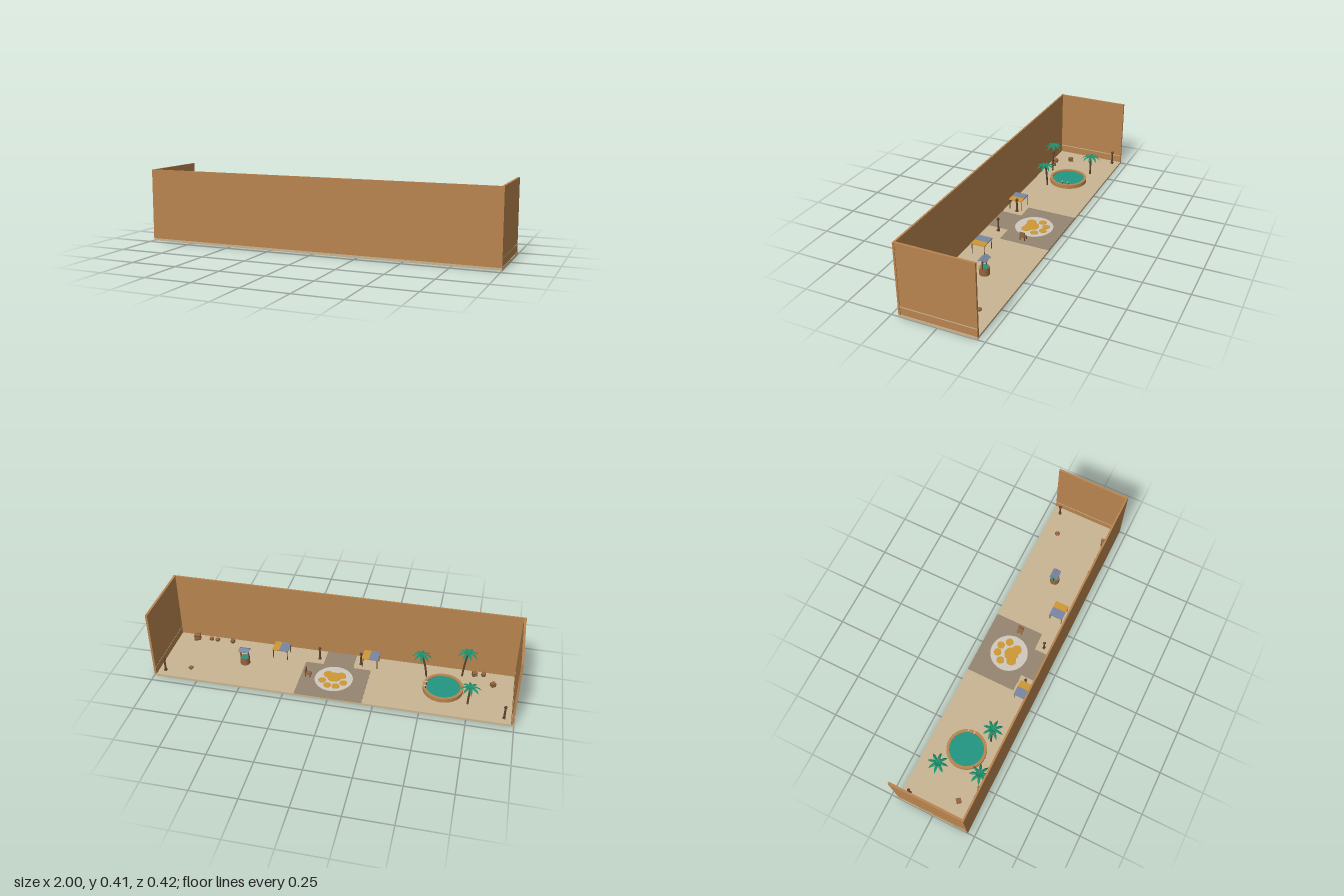
import * as THREE from 'three';

const mat = (name, color) => {
  const m = new THREE.MeshStandardMaterial({ color, flatShading: true, side: THREE.DoubleSide });
  m.name = name;
  return m;
};

export function createModel() {
  const M = {
    wall: mat('wallWood', 0xb8844e), sand: mat('sand', 0xc8b592), paving: mat('paving', 0x968572),
    stone: mat('paleStone', 0xcfc8bd), gold: mat('gold', 0xcf9835), blue: mat('slateBlue', 0x7a86a2),
    dark: mat('darkWood', 0x5f452f), water: mat('water', 0x229681), leaf: mat('palmGreen', 0x1f8f6c),
    brown: mat('barrelWood', 0x95653e),
  };
  const root = new THREE.Group();
  root.name = 'courtyard';
  const G = 0.013; // ground level

  const add = (parent, name, geo, m, x, y, z) => {
    const mesh = new THREE.Mesh(geo, m);
    mesh.name = name;
    mesh.position.set(x, y, z);
    parent.add(mesh);
    return mesh;
  };
  const box = (p, name, m, w, h, d, x, y, z) => add(p, name, new THREE.BoxGeometry(w, h, d), m, x, y, z);
  const cyl = (p, name, m, r1, r2, h, x, y, z, n = 10) =>
    add(p, name, new THREE.CylinderGeometry(r1, r2, h, n), m, x, y, z);
  const group = (name, x, z, ry = 0) => {
    const g = new THREE.Group();
    g.name = name;
    g.position.set(x, G, z);
    g.rotation.y = ry;
    root.add(g);
    return g;
  };

  // Ground slab and walls; the rear stays open
  box(root, 'ground', M.sand, 2, G, 0.42, 0, G / 2, 0);
  box(root, 'frontWall', M.wall, 2, 0.397, 0.01, 0, G + 0.1985, 0.205);
  for (const s of [-1, 1]) {
    box(root, 'sideWall', M.wall, 0.012, 0.397, 0.41, s * 0.991, G + 0.1985, -0.005);
    box(root, 'sideWallTrim', M.sand, 0.014, 0.005, 0.41, s * 0.991, 0.0575, -0.005);
  }

  // Paved plaza, path and medallion
  box(root, 'plaza', M.paving, 0.376, 0.002, 0.288, 0, G + 0.001, -0.066);
  box(root, 'path', M.paving, 0.172, 0.002, 0.122, 0, G + 0.001, 0.139);
  cyl(root, 'medallion', M.stone, 0.107, 0.107, 0.002, 0, G + 0.003, -0.042, 40);
  const paw = group('pawInlay', 0, -0.04);
  for (const [x, z, r] of [[-0.06, -0.028, 0.022], [-0.023, -0.064, 0.022], [0.023, -0.064, 0.022],
    [0.06, -0.028, 0.022], [0, 0.012, 0.04], [-0.036, 0.03, 0.028], [0.036, 0.03, 0.028]])
    cyl(paw, 'pawPad', M.gold, r, r, 0.002, x, 0.005, z, 18);

  // Round pool with a raised rim and ladder posts
  const pool = group('pool', -0.605, 0);
  const rim = [[0.095, 0], [0.095, 0.024], [0.111, 0.024], [0.111, 0]].map(p => new THREE.Vector2(...p));
  add(pool, 'poolRim', new THREE.LatheGeometry(rim, 36), M.wall, 0, 0, 0);
  cyl(pool, 'poolWater', M.water, 0.096, 0.096, 0.018, 0, 0.009, 0, 36);
  for (const z of [-0.035, 0]) {
    cyl(pool, 'ladderPost', M.dark, 0.003, 0.003, 0.04, 0.092, 0.02, z, 6);
    box(pool, 'ladderHandle', M.stone, 0.016, 0.004, 0.006, 0.096, 0.04, z);
  }

  // Palms: bent trunk and drooping pointed fronds
  const frond = () => {
    const pos = [], idx = [];
    [[0, 0, 0.003], [0.02, 0.009, 0.008], [0.04, 0.004, 0.007], [0.058, -0.014, 0.0005]].forEach(([x, y, w], i) => {
      pos.push(x, y - w * 0.5, -w, x, y, 0, x, y - w * 0.5, w);
      if (i) for (const k of [0, 1]) {
        const a = i * 3 - 3 + k;
        idx.push(a, a + 1, a + 3, a + 1, a + 4, a + 3);
      }
    });
    const g = new THREE.BufferGeometry();
    g.setAttribute('position', new THREE.Float32BufferAttribute(pos, 3));
    g.setIndex(idx);
    g.computeVertexNormals();
    return g;
  };
  for (const [x, z, h, lean] of [[-0.754, -0.09, 0.112, 0.006], [-0.47, 0.096, 0.142, -0.032], [-0.717, 0.144, 0.162, 0.02]]) {
    const palm = group('palm', x, z);
    const curve = new THREE.QuadraticBezierCurve3(new THREE.Vector3(lean, 0, 0),
      new THREE.Vector3(lean * 0.7, h * 0.6, 0), new THREE.Vector3(0, h, 0));
    add(palm, 'palmTrunk', new THREE.TubeGeometry(curve, 8, 0.0055, 7), M.dark, 0, 0, 0);
    for (let i = 0; i < 8; i++)
      add(palm, 'palmFrond', frond(), M.leaf, 0, h, 0).rotation.y = i * Math.PI / 4 + x * 5;
  }

  // Market stalls with two-colour canopies
  for (const [x, z] of [[-0.178, 0.138], [0.34, 0.11]]) {
    const stall = group('stall', x, z);
    for (const sx of [-1, 1]) for (const sz of [-1, 1])
      cyl(stall, 'stallLeg', M.dark, 0.0025, 0.0025, 0.06, sx * 0.041, 0.03, sz * 0.036, 6);
    box(stall, 'canopyBlue', M.blue, 0.052, 0.006, 0.08, -0.02, 0.062, 0);
    box(stall, 'canopyGold', M.gold, 0.04, 0.006, 0.08, 0.026, 0.062, 0);
  }

  // Posts with round caps
  for (const [x, z] of [[-0.947, -0.166], [0.947, -0.166], [-0.123, 0.123], [0.118, 0.123]]) {
    const post = group('post', x, z);
    box(post, 'postBase', M.dark, 0.015, 0.008, 0.015, 0, 0.004, 0);
    cyl(post, 'postShaft', M.dark, 0.005, 0.006, 0.07, 0, 0.035, 0, 8);
    add(post, 'postCap', new THREE.SphereGeometry(0.009, 8, 6), M.dark, 0, 0.075, 0);
  }

  // Chair on the plaza
  const chair = group('chair', 0.146, -0.042);
  box(chair, 'chairSeat', M.brown, 0.03, 0.005, 0.032, 0, 0.02, 0);
  box(chair, 'chairBack', M.brown, 0.005, 0.033, 0.032, 0.014, 0.037, 0);
  for (const sx of [-1, 1]) for (const sz of [-1, 1])
    box(chair, 'chairLeg', M.dark, 0.004, 0.018, 0.004, sx * 0.012, 0.009, sz * 0.013);

  // Well with a gabled roof and bucket
  const well = group('well', 0.527, -0.003);
  cyl(well, 'wellWall', M.brown, 0.027, 0.028, 0.042, 0, 0.021, 0, 12);
  cyl(well, 'wellWater', M.water, 0.021, 0.021, 0.002, 0, 0.043, 0, 12);
  for (const s of [-1, 1]) {
    cyl(well, 'wellPost', M.dark, 0.003, 0.003, 0.06, s * 0.023, 0.064, 0, 6);
    box(well, 'wellRoof', M.blue, 0.06, 0.004, 0.026, 0, 0.094, s * 0.011).rotation.x = s * 0.5;
  }
  cyl(well, 'wellAxle', M.dark, 0.003, 0.003, 0.05, 0, 0.075, 0, 6).rotation.z = Math.PI / 2;
  cyl(well, 'bucket', M.gold, 0.007, 0.006, 0.012, 0.028, 0.049, 0.012, 8);

  // Small barrels and stumps
  for (const [x, z, h] of [[0.813, -0.12, 0.012], [0.658, 0.166, 0.024], [0.752, 0.166, 0.016],
    [0.79, 0.166, 0.016], [-0.815, 0.168, 0.024]]) {
    const barrel = group('barrel', x, z);
    const pts = [[0, 0], [0.011, 0], [0.014, h / 2], [0.011, h], [0, h]].map(p => new THREE.Vector2(...p));
    add(barrel, 'barrelBody', new THREE.LatheGeometry(pts, 10), M.brown, 0, 0, 0);
    cyl(barrel, 'barrelHoop', M.dark, 0.0145, 0.0145, h * 0.2, 0, h / 2, 0, 10);
  }

  // Turned crates
  for (const [x, z, s, r] of [[0.875, 0.16, 0.036, 0.3], [-0.872, 0.09, 0.025, 0.7], [-0.765, 0.164, 0.026, 0.3]]) {
    const crate = group('crate', x, z, r);
    box(crate, 'crateBody', M.brown, s, s * 0.8, s, 0, s * 0.4, 0);
    for (const k of [0.06, 0.74]) box(crate, 'crateBand', M.dark, s * 1.06, s * 0.1, s * 1.06, 0, s * k, 0);
    box(crate, 'crateLid', M.brown, s * 0.9, s * 0.06, s * 0.9, 0, s * 0.82, 0);
  }
  return root;
}
